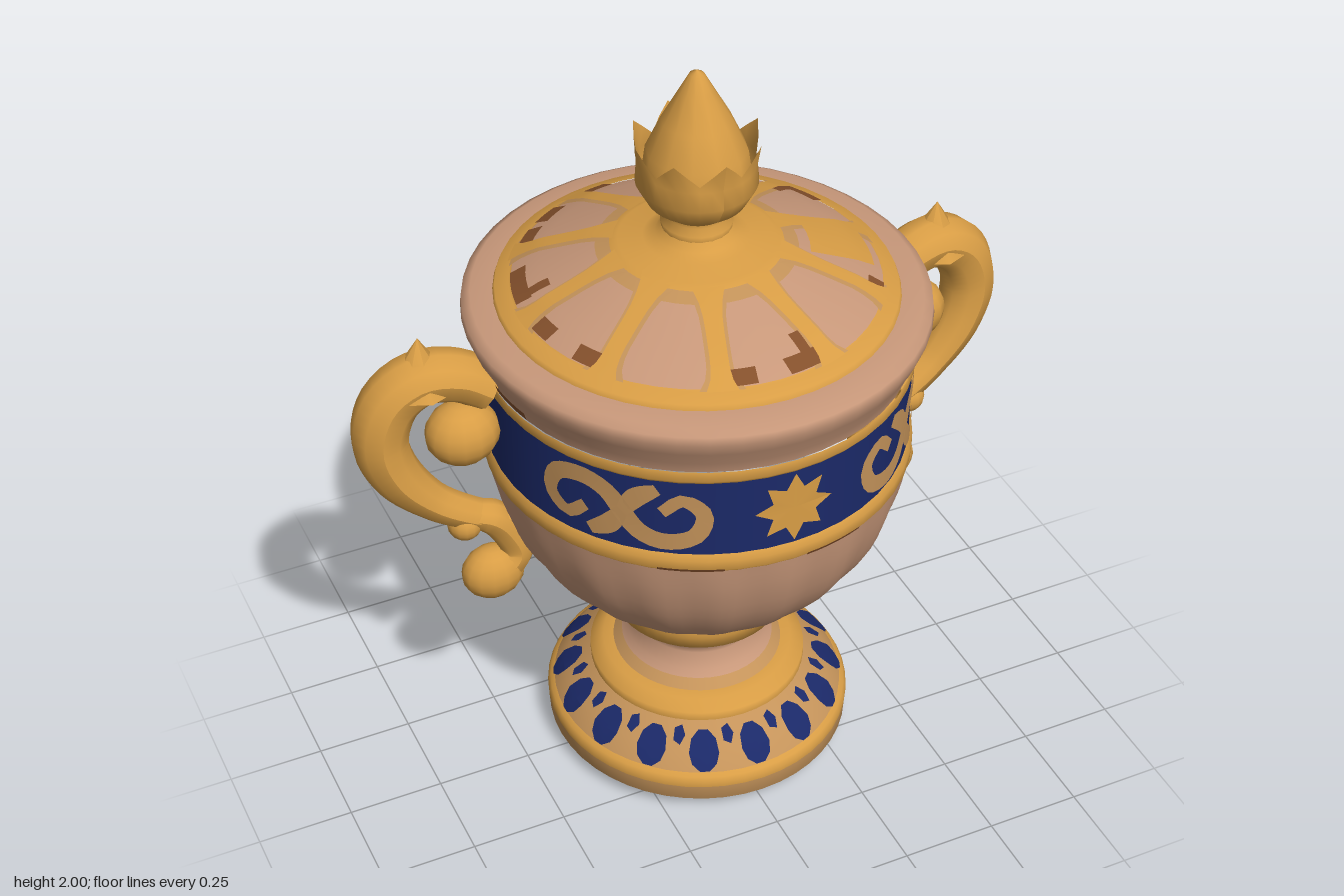
import * as THREE from 'three';
import { mergeVertices, mergeGeometries } from 'three/addons/utils/BufferGeometryUtils.js';

const flat = (name, color, side = THREE.FrontSide) => {
  const m = new THREE.MeshStandardMaterial({ color, side });
  m.name = name;
  return m;
};
const V = (x, y, z) => new THREE.Vector3(x, y, z);
const rad = THREE.MathUtils.degToRad;

// Radius of a profile [[r, y], ...] at height y
function radiusAt(profile, y) {
  for (let i = 1; i < profile.length; i++) {
    const [r0, y0] = profile[i - 1], [r1, y1] = profile[i];
    if (y <= y1) return r0 + (r1 - r0) * Math.max(0, (y - y0) / (y1 - y0));
  }
  return profile[profile.length - 1][0];
}

// Lays a flat geometry on a turned surface, just above it
function wrap(geo, phi, y0, profile, lift = 0.005) {
  const p = geo.attributes.position;
  for (let i = 0; i < p.count; i++) {
    const y = y0 + p.getY(i), r = radiusAt(profile, y);
    const a = phi + p.getX(i) / r;
    p.setXYZ(i, (r + lift) * Math.sin(a), y + lift * 0.6, (r + lift) * Math.cos(a));
  }
  geo.computeVertexNormals();
  return geo;
}

// Flat ribbon along a 2D path, narrowing at both ends
function ribbon(points, width, n = 40) {
  const curve = new THREE.CatmullRomCurve3(points.map(([x, y]) => V(x, y, 0)));
  const g = new THREE.PlaneGeometry(1, 1, n, 1), p = g.attributes.position;
  for (let i = 0; i <= n; i++) {
    const c = curve.getPointAt(i / n), t = curve.getTangentAt(i / n);
    const w = width * (0.6 + 0.4 * Math.sin(Math.PI * i / n)) / 2;
    p.setXYZ(i, c.x - t.y * w, c.y + t.x * w, 0);
    p.setXYZ(i + n + 1, c.x + t.y * w, c.y - t.x * w, 0);
  }
  return g;
}

// Tube whose radius follows evenly spaced values
function taperedTube(points, radii) {
  const n = 36, m = 10, curve = new THREE.CatmullRomCurve3(points);
  const g = new THREE.TubeGeometry(curve, n, 1, m), p = g.attributes.position, v = V();
  for (let i = 0; i <= n; i++) {
    const c = curve.getPointAt(i / n), f = i / n * (radii.length - 1);
    const k = Math.min(Math.floor(f), radii.length - 2);
    const r = THREE.MathUtils.lerp(radii[k], radii[k + 1], f - k);
    for (let j = 0; j <= m; j++) {
      const id = i * (m + 1) + j;
      v.fromBufferAttribute(p, id).sub(c).multiplyScalar(r).add(c);
      p.setXYZ(id, v.x, v.y, v.z);
    }
  }
  g.computeVertexNormals();
  return g;
}

export function createModel() {
  const tan = flat('tan clay', 0xc8987a);
  const gold = flat('gold', 0xd89d45, THREE.DoubleSide);
  const blue = flat('blue enamel', 0x1b2968);
  const ochre = flat('ochre', 0xc4935a);
  const brown = flat('brown', 0x84502c);

  const model = new THREE.Group();
  model.name = 'lidded urn';
  const body = new THREE.Group();
  body.name = 'body';
  body.scale.z = 1.03;
  model.add(body);

  const add = (parent, name, geo, mat) => {
    const m = new THREE.Mesh(geo, mat);
    m.name = name;
    parent.add(m);
    return m;
  };
  const turn = (name, profile, mat, segs = 48) =>
    add(body, name, new THREE.LatheGeometry(profile.map(([r, y]) => new THREE.Vector2(r, y)), segs), mat);

  // Foot
  const footSlope = [[0.385, 0.125], [0.35, 0.17], [0.285, 0.215]];
  turn('footUnderside', [[0, 0.005], [0.25, 0.012], [0.385, 0.03]], tan);
  turn('footPlinth', [[0.385, 0.03], [0.4, 0.045], [0.403, 0.09]], ochre);
  turn('footPlinthEdge', [[0.403, 0.09], [0.403, 0.105], [0.396, 0.118], [0.385, 0.125]], gold);
  turn('footSlope', footSlope, ochre);
  turn('footRing', [[0.285, 0.215], [0.285, 0.24], [0.25, 0.258], [0.222, 0.262]], gold);
  turn('stemFringe', [[0.225, 0.26], [0.2, 0.284]], ochre);
  turn('stem', [[0.2, 0.284], [0.185, 0.3], [0.163, 0.34], [0.17, 0.37], [0.2, 0.405]], tan);
  turn('stemRing', [[0.19, 0.395], [0.225, 0.415], [0.225, 0.445], [0.235, 0.475], [0.22, 0.49], [0.2, 0.495]], gold);
  const stain = add(body, 'undersideStain', new THREE.CircleGeometry(0.07, 12), brown);
  stain.rotation.set(Math.PI / 2, 0, rad(45));
  stain.scale.y = 0.8;
  stain.position.set(0.22, 0.01, -0.18);

  // Blue ovals around the foot
  const ovals = [];
  for (let i = 0; i < 16; i++) {
    ovals.push(wrap(new THREE.CircleGeometry(0.039, 10), i * Math.PI / 8, 0.165, footSlope));
    ovals.push(wrap(new THREE.CircleGeometry(0.016, 5), (i + 0.5) * Math.PI / 8, 0.193, footSlope));
  }
  add(body, 'footOvals', mergeGeometries(ovals), blue);

  // Softly fluted bowl
  const bowlLine = new THREE.SplineCurve([[0.19, 0.485], [0.28, 0.53], [0.385, 0.61], [0.47, 0.73], [0.515, 0.85], [0.535, 0.955]]
    .map(([r, y]) => new THREE.Vector2(r, y)));
  let bowl = new THREE.LatheGeometry(bowlLine.getPoints(14), 96);
  const bp = bowl.attributes.position;
  for (let i = 0; i < bp.count; i++) {
    const x = bp.getX(i), z = bp.getZ(i), y = bp.getY(i);
    const k = 1 + 0.009 * Math.sin(Math.PI * (y - 0.485) / 0.47) * Math.cos(20 * Math.atan2(x, z));
    bp.setXYZ(i, x * k, y, z * k);
  }
  bowl.deleteAttribute('uv');
  bowl.deleteAttribute('normal');
  bowl = mergeVertices(bowl, 1e-4);
  bowl.computeVertexNormals();
  add(body, 'bowl', bowl, tan);

  // Painted band with gold borders
  const band = [[0.53, 0.99], [0.53, 1.22]];
  const lowerBorder = [[0.53, 0.945], [0.54, 0.958], [0.54, 0.985], [0.53, 1.0]];
  turn('bandLowerBorder', lowerBorder, gold);
  turn('band', band, blue);
  turn('bandUpperBorder', [[0.53, 1.215], [0.537, 1.225], [0.537, 1.245], [0.535, 1.252]], gold);

  // Lying S scrolls with side shoots, two on each face
  const half = [[0, 0], [0.04, 0.05], [0.1, 0.072], [0.175, 0.05], [0.195, -0.015], [0.145, -0.055], [0.095, -0.015]];
  const spiral = [...half.slice(1).reverse().map(([x, y]) => [-x, -y]), ...half];
  const shoot = [[0.0, 0.0], [0.035, -0.05], [0.085, -0.082]];
  const scrolls = [], stars = [];
  for (let s = 0; s < 4; s++) {
    const f = s % 2 ? -1 : 1, mid = Math.floor(s / 2) * Math.PI + f * 0.78;
    for (const path of [spiral, shoot, shoot.map(([x, y]) => [-x, -y])]) {
      scrolls.push(wrap(ribbon(path.map(([x, y]) => [x * f, y]), 0.052), mid, 1.108, band));
    }
  }
  for (const phi of [0, Math.PI]) {
    const g = new THREE.CircleGeometry(1, 16), p = g.attributes.position;
    for (let i = 0; i < p.count; i++) {
      const k = i % 2 ? 0.1 : 0.06; // alternating points and notches
      p.setXY(i, p.getX(i) * k, p.getY(i) * k);
    }
    stars.push(wrap(g, phi, 1.108, band));
  }
  add(body, 'bandScrolls', mergeGeometries(scrolls), ochre);
  add(body, 'bandStars', mergeGeometries(stars), gold);

  // Rim
  const rim = [[0.53, 1.25], [0.538, 1.28], [0.562, 1.325], [0.575, 1.36], [0.572, 1.383], [0.55, 1.396], [0.495, 1.4]];
  turn('rim', rim, tan);
  const streaks = [90, 270].map((deg) => wrap(new THREE.PlaneGeometry(0.3, 0.02, 10, 1), rad(deg), 1.266, rim, 0.004));
  for (const deg of [-27, 12]) streaks.push(wrap(new THREE.PlaneGeometry(0.16, 0.01, 6, 1), rad(deg), 0.957, lowerBorder, 0.004));
  add(body, 'wornStreaks', mergeGeometries(streaks), brown);

  // Lid with gold spokes edged in ochre
  const lid = [[0.455, 1.422], [0.38, 1.462], [0.24, 1.515], [0.19, 1.53]];
  turn('lidOuterRing', [[0.495, 1.4], [0.49, 1.413], [0.455, 1.424], [0.45, 1.427]], gold);
  turn('lidPanels', lid, tan);
  turn('lidCrownFringe', [[0.245, 1.516], [0.2, 1.531]], ochre);
  turn('lidCrown', [[0.21, 1.529], [0.19, 1.538], [0.13, 1.547], [0.1, 1.56], [0.085, 1.58]], gold);
  const spokeSet = (width, lift) => {
    const set = [];
    for (let i = 0; i < 10; i++) {
      const g = new THREE.PlaneGeometry(width, 0.106, 2, 8), p = g.attributes.position;
      for (let j = 0; j < p.count; j++) { // flare at both ends
        p.setX(j, p.getX(j) * (1 + 0.8 * Math.pow(Math.abs(p.getY(j)) / 0.053, 4)));
      }
      set.push(wrap(g, (i + 0.5) * Math.PI / 5, 1.476, lid, lift));
    }
    return mergeGeometries(set);
  };
  add(body, 'lidSpokes', spokeSet(0.042, 0.009), gold);
  add(body, 'lidSpokeEdges', spokeSet(0.06, 0.004), ochre);
  add(body, 'lidGoldPanel', wrap(new THREE.PlaneGeometry(0.16, 0.066, 4, 6), rad(79), 1.472, lid, 0.007), gold);

  // Worn brown corners of the panels: [angle, length]
  const wear = [[-12, 0.075], [10, 0.1], [57, 0.06], [118, 0.12], [153, 0.08], [191, 0.08],
    [212, 0.08], [228, 0.1], [254, 0.13], [279, 0.06], [299, 0.07]]
    .map(([deg, len]) => wrap(new THREE.PlaneGeometry(len, 0.02, 4, 2), rad(deg), 1.438, lid, 0.007));
  for (const deg of [12, 122, 154, 234, 260]) {
    wear.push(wrap(new THREE.PlaneGeometry(0.028, 0.03, 1, 3), rad(deg), 1.455, lid, 0.006));
  }
  add(body, 'lidWornCorners', mergeGeometries(wear), brown);

  // Finial: neck, petal cup and bud
  turn('finialNeck', [[0.085, 1.575], [0.088, 1.595], [0.072, 1.61], [0.08, 1.635]], gold, 20);
  const cupProfile = [[0.075, 1.62], [0.12, 1.655], [0.147, 1.705], [0.143, 1.755], [0.157, 1.8]];
  const cup = turn('finialPetals', cupProfile, gold, 32).geometry, cp = cup.attributes.position;
  for (let s = 0; s <= 32; s++) {
    const id = s * 5 + 4, wave = Math.cos(s * Math.PI / 2); // eight pointed petals
    const k = 0.95 + 0.06 * wave;
    cp.setXYZ(id, cp.getX(id) * k, 1.8 + 0.03 * wave, cp.getZ(id) * k);
  }
  cup.computeVertexNormals();
  turn('finialBud', [[0.13, 1.73], [0.122, 1.79], [0.085, 1.87], [0.043, 1.945], [0.018, 1.99], [0, 2]], gold, 12);

  // Handles, one per side
  for (const s of [1, -1]) {
    const handle = new THREE.Group();
    handle.name = s > 0 ? 'leftHandle' : 'rightHandle';
    model.add(handle);
    const pt = (x, y, z) => V(s * x, y, z);
    add(handle, 'handleArch', taperedTube([
      pt(0.54, 1.24, -0.03), pt(0.61, 1.285, -0.045), pt(0.7, 1.295, -0.06), pt(0.775, 1.245, -0.07), pt(0.81, 1.14, -0.07),
      pt(0.78, 1.03, -0.06), pt(0.7, 0.93, -0.045), pt(0.61, 0.87, -0.03), pt(0.52, 0.83, -0.02)],
    [0.06, 0.068, 0.072, 0.073, 0.07, 0.062, 0.05, 0.045, 0.04]), gold);
    add(handle, 'handleTail', taperedTube([
      pt(0.63, 0.87, -0.03), pt(0.56, 0.85, -0.02), pt(0.515, 0.79, -0.02), pt(0.495, 0.72, -0.02), pt(0.54, 0.67, -0.02)],
    [0.035, 0.045, 0.045, 0.045, 0.05]), gold);
    const ball = (name, r, x, y, z, sx, sy, sz) => {
      const b = add(handle, name, new THREE.SphereGeometry(r, 14, 10), gold);
      b.position.set(s * x, y, z);
      b.scale.set(sx, sy, sz);
    };
    ball('upperVolute', 0.09, 0.615, 1.13, -0.025, 1.05, 0.95, 0.9);
    ball('lowerVolute', 0.075, 0.56, 0.67, -0.02, 1.1, 1, 0.85);
    ball('handleBump', 0.045, 0.625, 0.845, -0.025, 1, 1, 1);
    // pointed leaf on top of the arch
    const tip = add(handle, 'handleTip', new THREE.ConeGeometry(0.085, 0.14, 8), gold);
    tip.position.set(s * 0.7, 1.342, -0.06);
  }
  return model;
}
